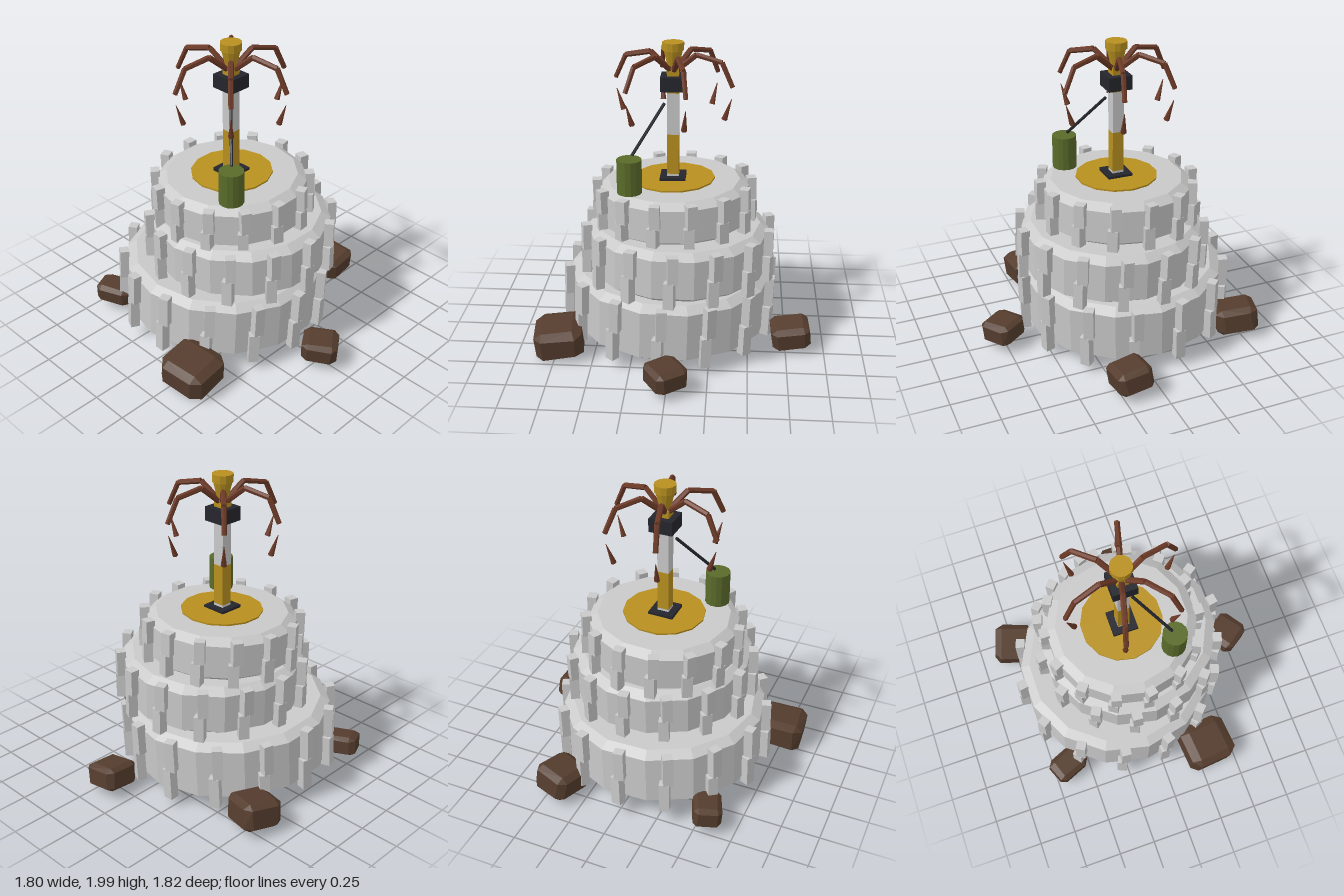
import * as THREE from 'three';
import { ConvexGeometry } from 'three/addons/geometries/ConvexGeometry.js';

const material = (name, color) => {
  const m = new THREE.MeshStandardMaterial({ color, flatShading: true });
  m.name = name;
  return m;
};

export function createModel() {
  const grey = material('pale grey', 0xc9c9c9);
  const yellow = material('mustard yellow', 0xb8901f);
  const rust = material('dark rust', 0x5a2015);
  const black = material('charcoal', 0x25262d);
  const rockBrown = material('rock brown', 0x553d2e);
  const armBrown = material('reddish brown', 0x6d3a27);
  const green = material('olive green', 0x5a6b2a);

  const root = new THREE.Group();
  root.name = 'tyreTower';
  const add = (name, geo, mat, x = 0, y = 0, z = 0, parent = root) => {
    const m = new THREE.Mesh(geo, mat);
    m.name = name;
    m.position.set(x, y, z);
    parent.add(m);
    return m;
  };
  // Tapered rod between two points
  const rod = (name, a, b, r0, r1, mat, sides = 6, parent = root) => {
    const dir = b.clone().sub(a);
    const m = add(name, new THREE.CylinderGeometry(r1, r0, dir.length(), sides), mat, 0, 0, 0, parent);
    m.position.copy(a).add(b).multiplyScalar(0.5);
    m.quaternion.setFromUnitVectors(new THREE.Vector3(0, 1, 0), dir.normalize());
    return m;
  };

  // Stacked tyres, each slightly tilted, with staggered tread lugs
  const tyre = (name, x, y, z, R, h, tiltX, tiltZ, phase) => {
    const g = new THREE.Group();
    g.name = name;
    g.position.set(x, y, z);
    g.rotation.set(tiltX, 0, tiltZ);
    root.add(g);
    const profile = [[0, -h / 2], [R - 0.06, -h / 2], [R, -h / 2 + 0.04],
      [R, h / 2 - 0.04], [R - 0.06, h / 2], [0, h / 2]].map(p => new THREE.Vector2(...p));
    add(name + 'Body', new THREE.LatheGeometry(profile, 14), grey, 0, 0, 0, g);
    const lugGeo = new THREE.BoxGeometry(0.06, h * 0.52, 0.065);
    for (let i = 0; i < 14; i++) {
      for (const side of [1, -1]) {
        const a = THREE.MathUtils.degToRad(phase) + i * Math.PI / 7 - side * 0.015;
        const r = R + 0.012;
        const lug = add('treadLug', lugGeo, grey, Math.cos(a) * r, side * h * 0.255, Math.sin(a) * r, g);
        lug.rotation.y = -a + side * 0.15;
      }
    }
    return g;
  };
  const disc = r => new THREE.CylinderGeometry(r, r, 0.03, 14);
  const bottom = tyre('bottomTyre', -0.1, 0.285, 0.03, 0.67, 0.4, -0.03, -0.025, 182);
  tyre('middleTyre', 0, 0.665, -0.03, 0.59, 0.33, -0.01, 0.02, -102);
  const top = tyre('topTyre', -0.05, 0.957, 0, 0.487, 0.29, 0.02, 0.008, -92);
  for (const s of [1, -1]) add('rustyHub', disc(0.38), rust, 0, s * 0.195, 0, bottom);
  add('hubCap', new THREE.CylinderGeometry(0.12, 0.12, 0.02, 8), black, 0, -0.205, 0, bottom);
  add('yellowHub', disc(0.265), yellow, 0, 0.141, 0, top);

  // Banded square pole
  const px = -0.05, pz = 0.008;
  const band = (name, w, y0, y1, mat) =>
    add(name, new THREE.BoxGeometry(w, y1 - y0, w), mat, px, (y0 + y1) / 2, pz);
  band('poleBase', 0.165, 1.1, 1.13, black);
  band('poleFoot', 0.075, 1.13, 1.145, grey);
  band('poleLower', 0.075, 1.145, 1.41, yellow);
  band('poleMiddle', 0.075, 1.41, 1.68, grey);
  band('poleUpper', 0.075, 1.68, 1.84, yellow);
  band('poleCollar', 0.155, 1.7, 1.79, black);
  add('funnel', new THREE.CylinderGeometry(0.062, 0.03, 0.13, 12), yellow, px, 1.89, pz);
  add('poleCap', new THREE.CylinderGeometry(0.068, 0.068, 0.05, 12), yellow, px, 1.975, pz);

  // Drooping arms with a loose hanging spike below each
  for (let i = 0; i < 6; i++) {
    const a = Math.PI / 4 + i * Math.PI / 3;
    const at = (r, y) => new THREE.Vector3(px + Math.cos(a) * r, y, pz + Math.sin(a) * r);
    const arm = new THREE.Group();
    arm.name = 'arm';
    root.add(arm);
    const pts = [at(0.03, 1.83), at(0.15, 1.93), at(0.315, 1.895), at(0.385, 1.745)];
    for (let k = 0; k < 3; k++)
      rod('armSegment', pts[k], pts[k + 1], 0.019 - k * 0.001, 0.018 - k * 0.001, armBrown, 6, arm);
    rod('hangingSpike', at(0.335, 1.535), at(0.38, 1.67), 0.019, 0.002, armBrown, 6, arm);
  }

  // Canister and its stay rod
  add('canister', new THREE.CylinderGeometry(0.079, 0.079, 0.22, 14), green, 0.208, 1.21, 0.265);
  rod('stayRod', new THREE.Vector3(0.193, 1.34, 0.248), new THREE.Vector3(0, 1.62, 0.06), 0.01, 0.01, black);

  // Chamfered, slightly irregular rocks around the base
  let seed = 7;
  const rnd = () => (seed = (seed * 16807) % 2147483647) / 2147483647;
  const rock = (x, y, z, sx, sy, sz, yaw, tilt) => {
    const pts = [];
    for (let axis = 0; axis < 3; axis++)
      for (let c = 0; c < 8; c++) {
        const s = [c & 1, c & 2, c & 4].map(b => (b ? 1 : -1));
        const p = s.map((v, k) => v * (k === axis ? 1 : 0.62 + rnd() * 0.12));
        pts.push(new THREE.Vector3(p[0] * sx, p[1] * sy, p[2] * sz));
      }
    add('rock', new ConvexGeometry(pts), rockBrown, x, y, z).rotation.set(tilt, yaw, -tilt);
  };
  rock(0.18, 0.12, -0.78, 0.115, 0.08, 0.125, 0.05, 0.12);
  rock(-0.74, 0.12, -0.43, 0.14, 0.09, 0.13, -0.3, 0.1);
  rock(0.755, 0.125, 0.005, 0.115, 0.07, 0.11, 0.6, 0.06);
  rock(-0.645, 0.12, 0.55, 0.12, 0.065, 0.09, 0.4, 0.08);
  rock(0.325, 0.12, 0.73, 0.165, 0.095, 0.155, 0.1, 0.1);
  return root;
}
